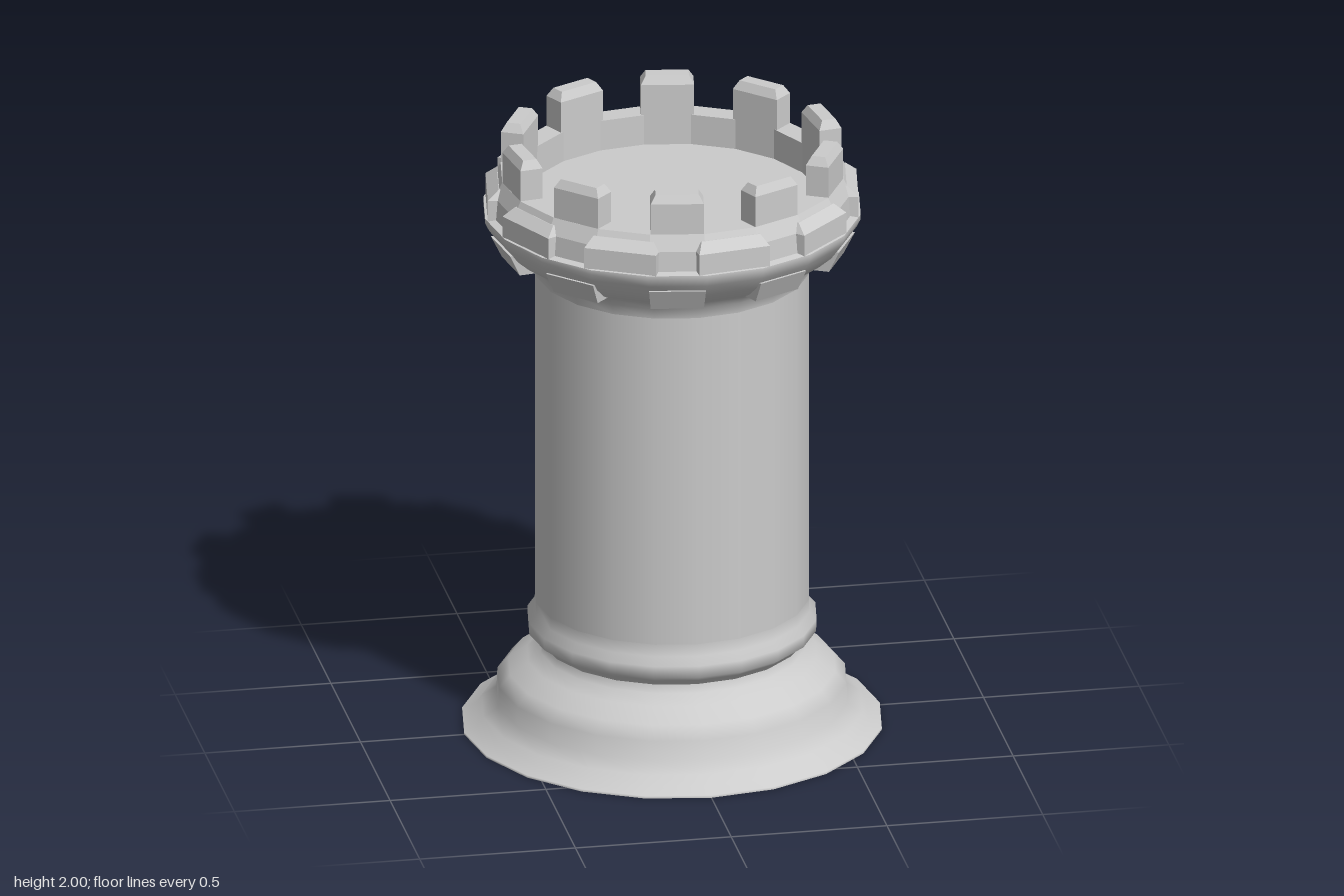
import * as THREE from 'three';

const SIDES = 20;
const smooth = new THREE.MeshStandardMaterial({ color: 0xcccccc });
const flat = new THREE.MeshStandardMaterial({ color: 0xcccccc, flatShading: true });

// Turned part from [radius, height] pairs
function turned(name, profile, material = smooth) {
  const points = profile.map(([r, y]) => new THREE.Vector2(r, y));
  const mesh = new THREE.Mesh(new THREE.LatheGeometry(points, SIDES), material);
  mesh.name = name;
  return mesh;
}

// Closed block lofted upwards through rectangles [y, inner z, outer z, half width]
function loft(sections) {
  const positions = [], index = [];
  for (const [y, zIn, zOut, w] of sections) {
    positions.push(-w, y, zOut, w, y, zOut, w, y, zIn, -w, y, zIn);
  }
  for (let s = 0; s < sections.length - 1; s++) {
    for (let i = 0; i < 4; i++) {
      const a = s * 4 + i, b = s * 4 + (i + 1) % 4;
      index.push(a, b, b + 4, a, b + 4, a + 4);
    }
  }
  const t = (sections.length - 1) * 4;
  index.push(0, 2, 1, 0, 3, 2, t, t + 1, t + 2, t, t + 2, t + 3);
  const geometry = new THREE.BufferGeometry();
  geometry.setAttribute('position', new THREE.Float32BufferAttribute(positions, 3));
  geometry.setIndex(index);
  geometry.computeVertexNormals();
  return geometry;
}

// Ten copies around the tower, one on every other side
function ringOf(name, geometry, startDegrees) {
  const group = new THREE.Group();
  group.name = name + 's';
  for (let i = 0; i < SIDES / 2; i++) {
    const mesh = new THREE.Mesh(geometry, flat);
    mesh.name = name;
    mesh.rotation.y = THREE.MathUtils.degToRad(startDegrees + i * 36);
    group.add(mesh);
  }
  return group;
}

export function createModel() {
  const tower = new THREE.Group();
  tower.name = 'tower';

  // Foot, collar, shaft and flared head
  tower.add(turned('underside', [[0, 0], [0.667, 0]], flat));
  tower.add(turned('base', [
    [0.667, 0], [0.667, 0.008], [0.625, 0.025], [0.605, 0.055], [0.558, 0.085], [0.555, 0.15],
    [0.52, 0.19], [0.46, 0.23], [0.42, 0.258], [0.412, 0.285],
  ]));
  tower.add(turned('collar', [
    [0.412, 0.285], [0.43, 0.305], [0.458, 0.325], [0.46, 0.365], [0.437, 0.39], [0.435, 0.43],
  ]));
  tower.add(turned('shaft', [[0.435, 0.43], [0.435, 1.54]]));
  tower.add(turned('flare', [
    [0.435, 1.54], [0.442, 1.575], [0.47, 1.605], [0.515, 1.63], [0.555, 1.665],
    [0.588, 1.71], [0.6, 1.735], [0.6, 1.75],
  ]));

  // Crown wall with its sunken floor
  tower.add(turned('crown', [
    [0.6, 1.75], [0.575, 1.755], [0.57, 1.82], [0.545, 1.87], [0.47, 1.87], [0.47, 1.77],
  ], flat));
  tower.add(turned('floor', [[0.47, 1.77], [0, 1.77]], flat));

  // Bevelled battlements
  tower.add(ringOf('merlon', loft([
    [1.85, 0.464, 0.538, 0.084], [1.972, 0.464, 0.538, 0.084], [2, 0.479, 0.523, 0.068],
  ]), -9));

  // Blocks round the crown, between the battlements
  tower.add(ringOf('crownBlock', loft([
    [1.75, 0.5, 0.585, 0.118], [1.82, 0.5, 0.585, 0.118], [1.85, 0.5, 0.55, 0.098],
  ]), 9));

  // Panels under the rim
  tower.add(ringOf('rimPanel', loft([
    [1.618, 0.44, 0.54, 0.084], [1.69, 0.5, 0.575, 0.09],
  ]), -9));

  return tower;
}
